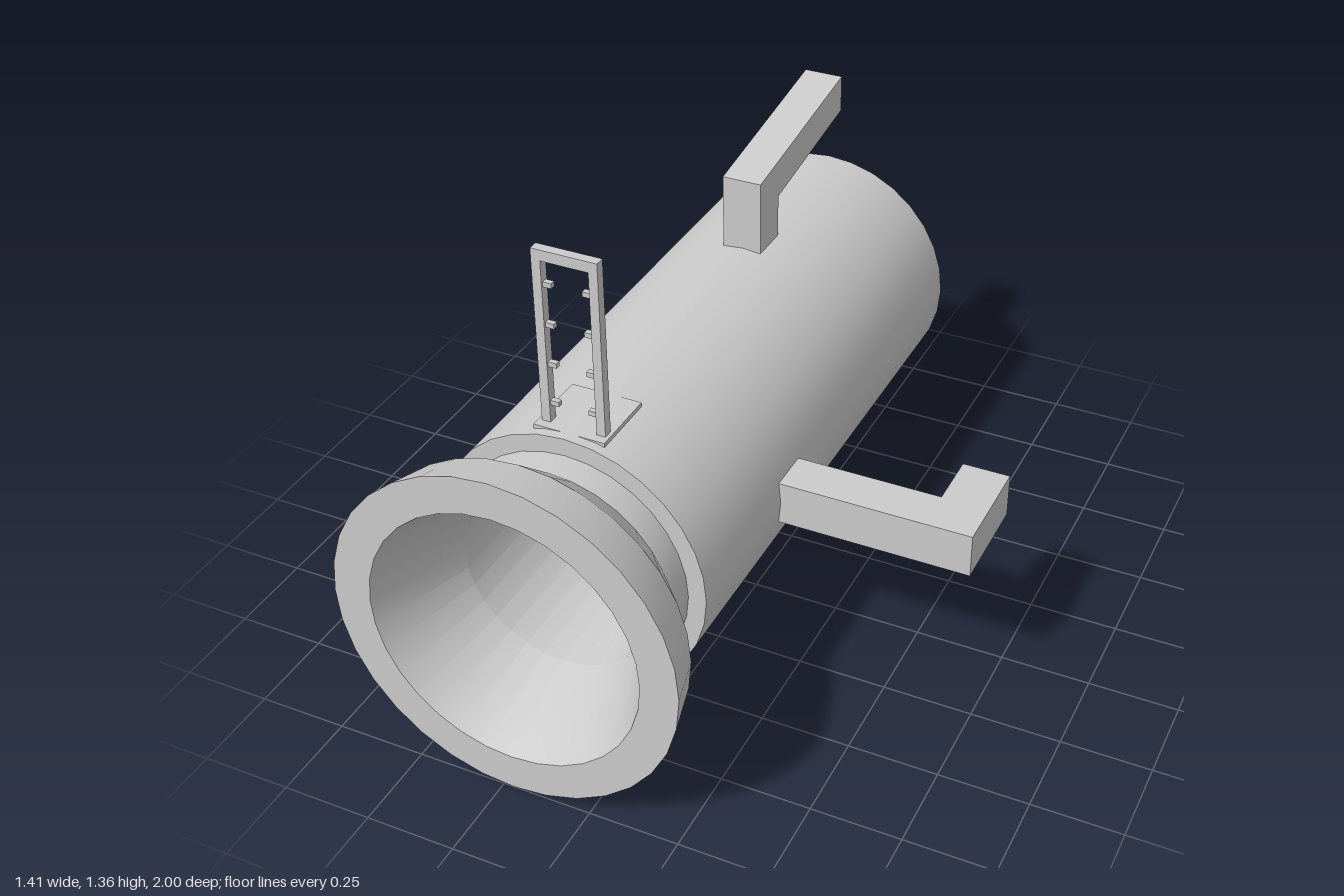
import * as THREE from 'three';
import { toCreasedNormals } from 'three/addons/utils/BufferGeometryUtils.js';

const material = new THREE.MeshStandardMaterial({ color: 0xcccccc });
const AXIS_X = -0.22, AXIS_Y = 0.49;

function addMesh(parent, name, geometry) {
  const mesh = new THREE.Mesh(geometry, material);
  mesh.name = name;
  parent.add(mesh);
  return mesh;
}

// Box given by its minimum and maximum corners
function addBox(parent, name, [x0, y0, z0], [x1, y1, z1]) {
  const mesh = addMesh(parent, name, new THREE.BoxGeometry(x1 - x0, y1 - y0, z1 - z0));
  mesh.position.set((x0 + x1) / 2, (y0 + y1) / 2, (z0 + z1) / 2);
  return mesh;
}

// Turned part along z, from [radius, z] pairs
function addTurned(parent, name, profile) {
  const points = profile.map(([r, z]) => new THREE.Vector2(r, z));
  const geometry = new THREE.LatheGeometry(points, 32).rotateX(Math.PI / 2);
  const mesh = addMesh(parent, name, toCreasedNormals(geometry, 0.4));
  mesh.position.set(AXIS_X, AXIS_Y, 0);
  return mesh;
}

function extrude(points, depth) {
  const shape = new THREE.Shape(points.map(([x, y]) => new THREE.Vector2(x, y)));
  return new THREE.ExtrudeGeometry(shape, { depth, bevelEnabled: false });
}

export function createModel() {
  const model = new THREE.Group();
  model.name = 'launcher';

  // Barrel with neck, flared muzzle and hollow bore
  addTurned(model, 'barrel', [
    [0, -1], [0.385, -1], [0.385, 0.65], [0.335, 0.65], [0.335, 0.73],
    [0.45, 0.865], [0.485, 1], [0.38, 1], [0.27, 0.73], [0.27, 0], [0, 0],
  ]);

  // Ladder sight on a small plate
  const sight = new THREE.Group();
  sight.name = 'sight';
  model.add(sight);
  addBox(sight, 'sightPlate', [-0.322, 0.858, 0.425], [-0.122, 0.873, 0.622]);
  addBox(sight, 'sightTopBar', [-0.312, 1.338, 0.57], [-0.132, 1.368, 0.597]);
  for (const side of [-1, 1]) {
    const xs = (a, b) => [AXIS_X - 0.002 + side * a, AXIS_X - 0.002 + side * b].sort((p, q) => p - q);
    const [p0, p1] = xs(0.065, 0.09);
    addBox(sight, 'sightPost', [p0, 0.862, 0.57], [p1, 1.338, 0.597]);
    const [n0, n1] = xs(0.042, 0.066);
    for (let i = 0; i < 4; i++) {
      const y = 1.27 - i * 0.114;
      addBox(sight, 'sightNotch', [n0, y - 0.007, 0.576], [n1, y + 0.007, 0.591]);
    }
  }

  // Carrying handle: side profile in (z, y), extruded across x
  const handle = extrude([
    [-0.38, 0.84], [-0.38, 1.09], [-0.95, 1.173], [-0.95, 1.063], [-0.5, 0.995], [-0.5, 0.84],
  ], 0.116).rotateY(-Math.PI / 2);
  addMesh(model, 'carryHandle', handle).position.x = -0.164;

  // Side grip: plan profile in (x, -z), extruded upwards
  const grip = extrude([
    [0.08, -0.2], [0.703, -0.2], [0.703, 0.09], [0.57, 0.09], [0.57, -0.073], [0.08, -0.073],
  ], 0.127).rotateX(-Math.PI / 2);
  addMesh(model, 'sideGrip', grip).position.y = 0.427;

  return model;
}
